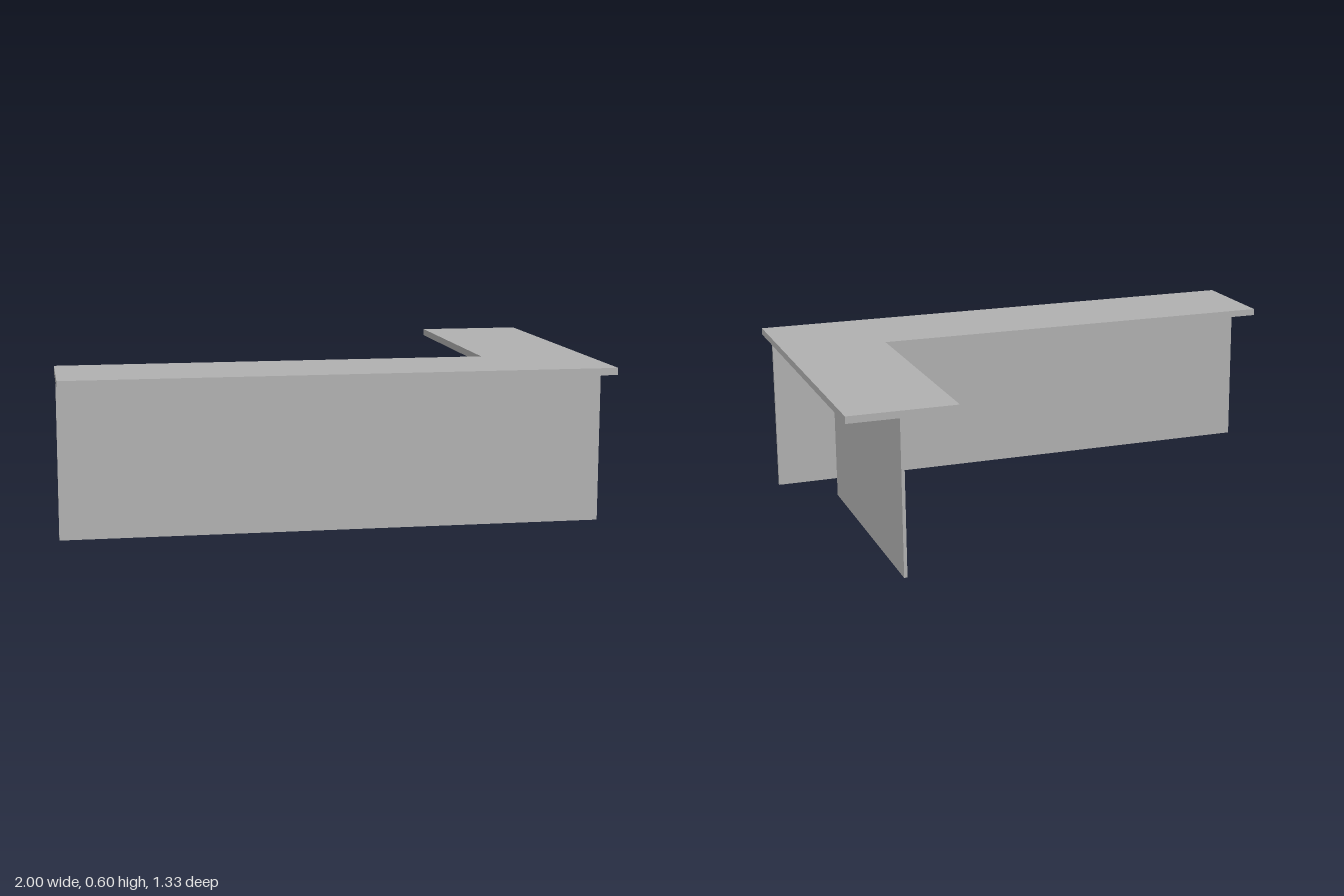
import * as THREE from 'three';

export function createModel() {
  const group = new THREE.Group();
  const grey = new THREE.MeshStandardMaterial({ color: 0xb2b2b2 });
  grey.name = 'grey';

  const height = 0.6, topThickness = 0.026, half = 0.667;
  const underside = height - topThickness;

  // L-shaped counter top, drawn in plan (shape y becomes -z)
  const plan = new THREE.Shape([
    [-1, -half], [1, -half], [1, half], [0.6, half], [0.6, -0.267], [-1, -0.267],
  ].map(([x, y]) => new THREE.Vector2(x, y)));
  const topGeometry = new THREE.ExtrudeGeometry(plan, { depth: topThickness, bevelEnabled: false });
  topGeometry.rotateX(-Math.PI / 2);
  const top = new THREE.Mesh(topGeometry, grey);
  top.name = 'counterTop';
  top.position.y = underside;
  group.add(top);

  // Thin upright panels carrying the top
  function addPanel(name, x0, x1, z0, z1) {
    const panel = new THREE.Mesh(new THREE.BoxGeometry(x1 - x0, underside, z1 - z0), grey);
    panel.name = name;
    panel.position.set((x0 + x1) / 2, underside / 2, (z0 + z1) / 2);
    group.add(panel);
  }
  addPanel('frontPanel', -1, 1, 0.471, 0.483);
  addPanel('returnPanel', 0.8, 0.812, -half, 0.267);

  return group;
}
